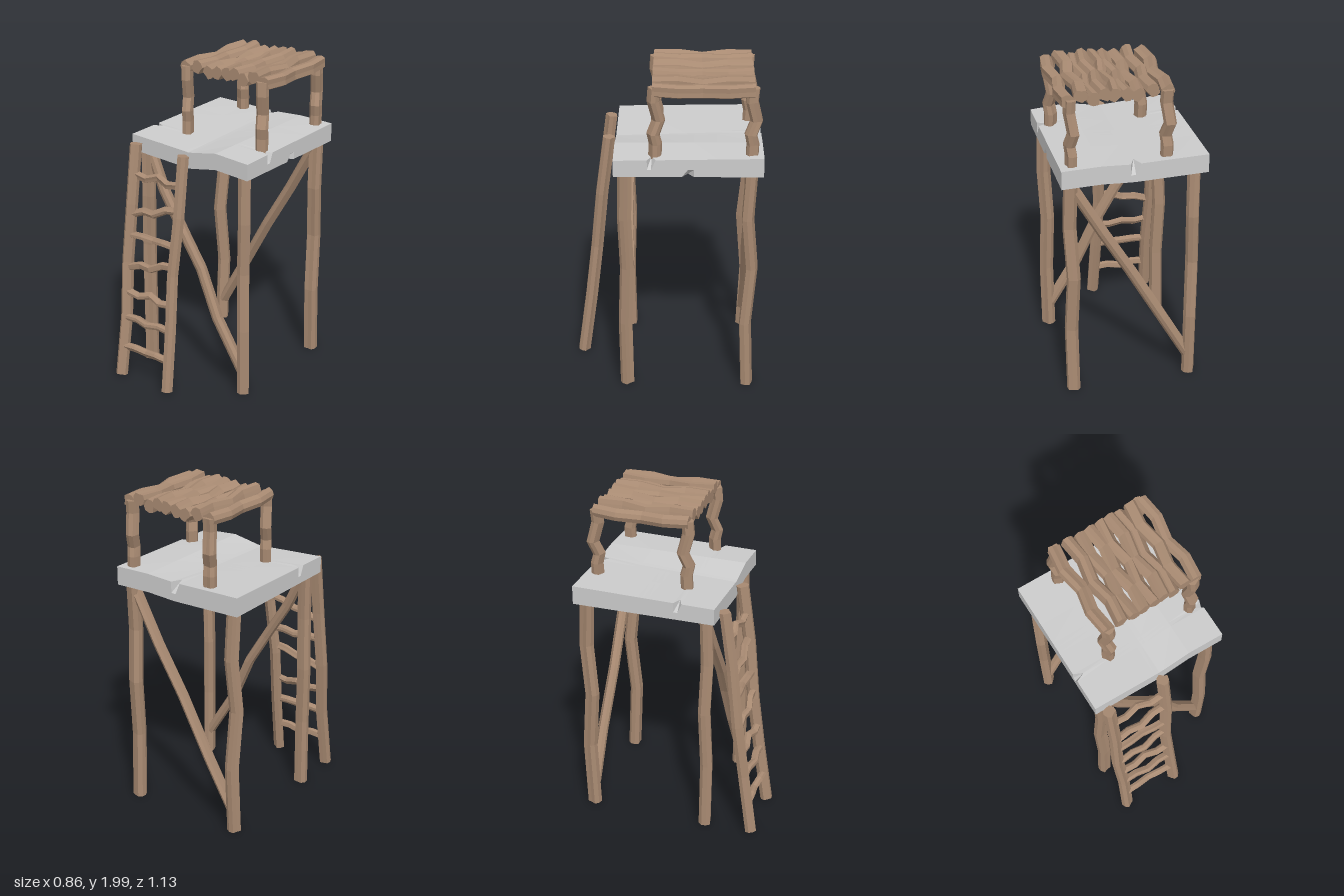
import * as THREE from 'three';

const wood = new THREE.MeshStandardMaterial({ color: 0xa88a72, flatShading: true });
const stone = new THREE.MeshStandardMaterial({ color: 0xcccccc, flatShading: true });

// Hewn log section: round with two lengthwise grooves
const SECTION = [1, 0.97, 1.04, 0.74, 1.02, 0.98, 1.03, 0.8, 1];

// Faceted log swept along a crooked path of [x, y, z] points
function log(name, path, radius, turn = 0) {
  const pts = path.map(p => new THREE.Vector3(...p));
  const n = SECTION.length, last = pts.length - 1;
  const axis = pts[last].clone().sub(pts[0]).normalize();
  const ref = Math.abs(axis.z) > 0.8 ? new THREE.Vector3(0, 1, 0) : new THREE.Vector3(0, 0, 1);
  const pos = [], idx = [];
  pts.forEach((p, i) => {
    const t = pts[Math.min(i + 1, last)].clone().sub(pts[Math.max(i - 1, 0)]).normalize();
    if (i === 0 || i === last) t.copy(axis); // square-cut ends
    const u = ref.clone().cross(t).normalize(), v = t.clone().cross(u);
    for (let j = 0; j < n; j++) {
      const a = (j / n) * Math.PI * 2 + turn, r = radius * SECTION[j];
      const q = p.clone().addScaledVector(u, r * Math.cos(a)).addScaledVector(v, r * Math.sin(a));
      pos.push(q.x, Math.max(q.y, 0), q.z);
    }
  });
  const c0 = pos.length / 3, c1 = c0 + 1;
  pos.push(...pts[0].toArray(), ...pts[last].toArray());
  for (let j = 0; j < n; j++) {
    const k = (j + 1) % n;
    for (let i = 0; i < last; i++) {
      const a = i * n + j, b = i * n + k;
      idx.push(a, b, b + n, a, b + n, a + n);
    }
    idx.push(c0, k, j, c1, last * n + j, last * n + k);
  }
  const g = new THREE.BufferGeometry();
  g.setAttribute('position', new THREE.Float32BufferAttribute(pos, 3));
  g.setIndex(idx);
  g.computeVertexNormals();
  const mesh = new THREE.Mesh(g, wood);
  mesh.name = name;
  return mesh;
}

// Warped slab with chipped edges
function platform() {
  const xs = [-0.43, -0.2, -0.03, 0, 0.03, 0.2, 0.43];
  const zs = [-0.565, -0.3, -0.165, -0.13, -0.095, 0.055, 0.08, 0.105, 0.3];
  const ys = [1.425, 1.47, 1.525];
  const warp = [0, -0.012, -0.022, -0.024, -0.02, 0.012, -0.004];
  const g = new THREE.BoxGeometry(1, 1, 1, xs.length - 1, 2, zs.length - 1);
  const p = g.attributes.position;
  for (let i = 0; i < p.count; i++) {
    const ix = Math.round((p.getX(i) + 0.5) * (xs.length - 1));
    const iy = Math.round((p.getY(i) + 0.5) * 2);
    const iz = Math.round((p.getZ(i) + 0.5) * (zs.length - 1));
    let x = xs[ix], z = zs[iz];
    const front = (z + 0.565) / 0.865;
    const y = ys[iy] + warp[ix] * (0.3 + 0.7 * front) + (iy === 2 ? 0.014 * (1 - front) : 0);
    const side = ix === 0 ? -1 : ix === xs.length - 1 ? 1 : 0;
    if (side && iz === 6 && iy === 2) x -= side * 0.055;
    if (side > 0 && iz === 3 && iy === 0) x -= 0.05;
    if (iz === 0 && ix === 3 && iy === 2) z += 0.065;
    p.setXYZ(i, x, y, z);
  }
  g.computeVertexNormals();
  const mesh = new THREE.Mesh(g, stone);
  mesh.name = 'platform';
  return mesh;
}

function legs() {
  const group = new THREE.Group();
  group.name = 'legs';
  for (const sx of [-1, 1]) for (const z of [0.235, -0.5]) {
    const bend = z > 0 ? 0.007 : 0.018 * sx;
    const path = [0, 0.43, 0.8, 1.13, 1.45].map((y, i) =>
      [sx * 0.365 + [0, 0.004, -0.008, 0.006, 0][i], y, z + [0, 1, -0.7, 1, 0][i] * bend]);
    group.add(log('leg', path, 0.042, sx + z * 3));
  }
  // Diagonal braces, one across the front and one across the back
  group.add(log('frontBrace', [[-0.35, 1.41, 0.22], [-0.24, 1.19, 0.235], [-0.08, 0.94, 0.24],
    [0.04, 0.74, 0.23], [0.17, 0.45, 0.24], [0.36, 0.14, 0.235]], 0.034, 1));
  group.add(log('backBrace', [[0.37, 1.42, -0.49], [0.18, 1.08, -0.5], [0.01, 0.79, -0.495],
    [-0.19, 0.43, -0.505], [-0.35, 0.14, -0.5]], 0.034, 2));
  return group;
}

function ladder() {
  const group = new THREE.Group();
  group.name = 'ladder';
  const zAt = y => 0.53 - 0.125 * y;
  const heights = [0.01, 0.4, 0.75, 1.12, 1.49];
  const rails = [[-0.367, -0.36, -0.375, -0.365, -0.365], [-0.003, -0.014, -0.026, -0.004, -0.006]];
  rails.forEach((xs, k) => group.add(log('rail',
    heights.map((y, i) => [xs[i], y, zAt(y) + [0, -0.006, -0.004, 0.004, 0][i]]), 0.038, k * 2)));
  // Rungs: height, slope, wave
  const rungs = [[0.2, 0, 0.006], [0.395, 0, 0.005], [0.56, 0, -0.012], [0.76, 0.04, 0.01],
    [0.925, 0, 0.004], [1.105, 0.045, 0.01], [1.305, 0, -0.014]];
  rungs.forEach(([y, slope, wave], k) => {
    const path = [-1, -0.5, 0, 0.5, 1].map((s, i) => {
      const h = y + s * slope + [0, -1, 1, -1, 0][i] * wave * -1;
      return [-0.185 + s * 0.165, h, zAt(h) + [0, 0, 1, 0, 0][i] * 0.012 * (k % 2 ? 1 : -1)];
    });
    group.add(log('rung', path, 0.024, k));
  });
  return group;
}

function canopy() {
  const group = new THREE.Group();
  group.name = 'canopy';
  // Crooked posts
  for (const [x, sx] of [[-0.195, -1], [0.358, -1]]) for (const [z, sz] of [[0.062, -1], [-0.495, -1]]) {
    const kink = [0, 0.2, -0.4, 1, -0.3, 0];
    const path = [1.5, 1.6, 1.66, 1.74, 1.86, 1.94].map((y, i) =>
      [x + sx * kink[i] * 0.012, y, z + sz * kink[i] * 0.022]);
    group.add(log('post', path, 0.038, x * 9 + z * 4));
  }
  // Roof logs: x, height, bend direction
  const roof = [[-0.198, 1.932, -1], [-0.108, 1.945, 1], [-0.028, 1.927, -1], [0.038, 1.935, 1],
    [0.105, 1.94, -1], [0.165, 1.948, 1], [0.228, 1.928, 1], [0.298, 1.956, -1], [0.378, 1.932, 1]];
  roof.forEach(([x, y, dir], k) => {
    const path = [0.075, -0.07, -0.21, -0.36, -0.505].map((z, i) =>
      [x + dir * [-0.2, 1, -0.9, 1, -0.2][i] * 0.015, y + [0, -0.004, -0.012, -0.004, 0][i], z]);
    group.add(log('roofLog', path, 0.041, k * 1.7));
  });
  return group;
}

export function createModel() {
  const model = new THREE.Group();
  model.name = 'watchtower';
  model.add(platform(), legs(), ladder(), canopy());
  return model;
}
